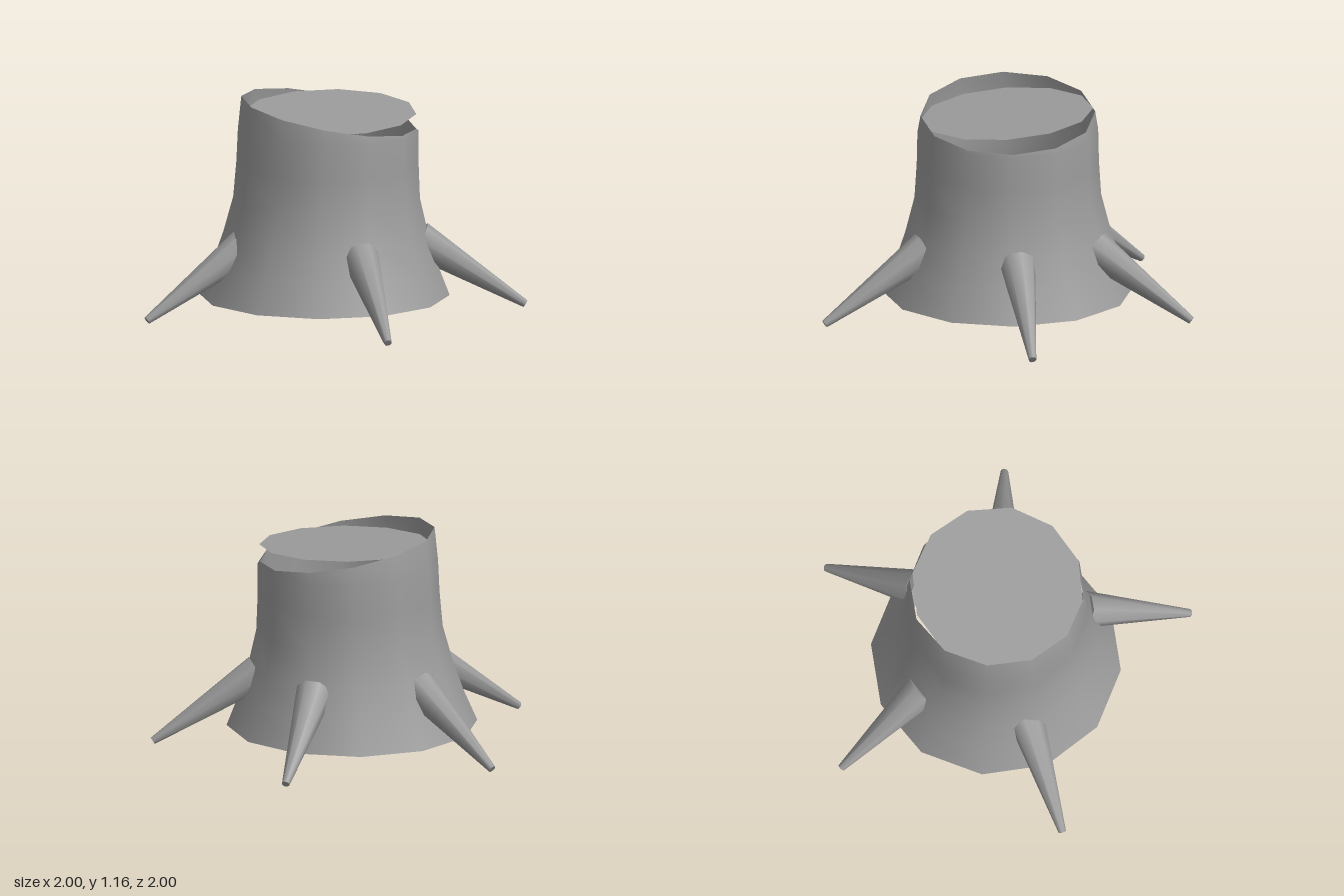
import * as THREE from 'three';

const wood = new THREE.MeshStandardMaterial({ color: 0x9c9c9c, side: THREE.DoubleSide });
wood.name = 'grey wood';

function part(name, geometry, parent) {
  const mesh = new THREE.Mesh(geometry, wood);
  mesh.name = name;
  parent.add(mesh);
  return mesh;
}

// Open twelve-sided trunk that flares at the foot, with a slanted cut rim
function trunkGeometry() {
  const profile = [
    [0.675, 0.08], [0.605, 0.25], [0.55, 0.42], [0.502, 0.61],
    [0.49, 0.8], [0.486, 0.98], [0.47, 1.08],
  ].map(([r, y]) => new THREE.Vector2(r, y));
  const g = new THREE.LatheGeometry(profile, 12, THREE.MathUtils.degToRad(3));
  const p = g.attributes.position;
  for (let i = 0; i < p.count; i++) {
    const t = (p.getY(i) - 0.08) / 1.0;
    p.setX(i, p.getX(i) - 0.083 + 0.025 * t);
    if (p.getY(i) > 1.05) p.setY(i, 1.065 - 0.183 * p.getX(i));
  }
  return g;
}

// Tapered root running from inside the trunk down to its tip
function rootGeometry(from, to) {
  const a = new THREE.Vector3(...from);
  const b = new THREE.Vector3(...to);
  const dir = b.clone().sub(a);
  const g = new THREE.CylinderGeometry(0.021, 0.1, dir.length(), 8, 1);
  g.applyQuaternion(new THREE.Quaternion().setFromUnitVectors(
    new THREE.Vector3(0, 1, 0), dir.normalize()));
  const mid = a.add(b).multiplyScalar(0.5);
  g.translate(mid.x, mid.y, mid.z);
  return g;
}

export function createModel() {
  const group = new THREE.Group();
  group.name = 'tree stump';

  part('trunk', trunkGeometry(), group);

  // Cut face, tilted up slightly towards the back
  const face = new THREE.CircleGeometry(0.465, 12);
  face.rotateX(-Math.PI / 2 + 0.07);
  face.translate(-0.05, 1.077, 0.005);
  part('cutFace', face, group);

  // Start and tip of each root
  const roots = [
    [[0.42, 0.38, -0.05], [0.99, 0.021, -0.13]],
    [[0.155, 0.38, 0.44], [0.355, 0.021, 0.985]],
    [[-0.49, 0.38, 0.225], [-0.99, 0.021, 0.51]],
    [[-0.43, 0.38, -0.34], [-0.82, 0.021, -0.72]],
    [[0.13, 0.38, -0.46], [0.295, 0.021, -0.985]],
  ];
  roots.forEach(([from, to], i) => part('root' + (i + 1), rootGeometry(from, to), group));

  return group;
}
